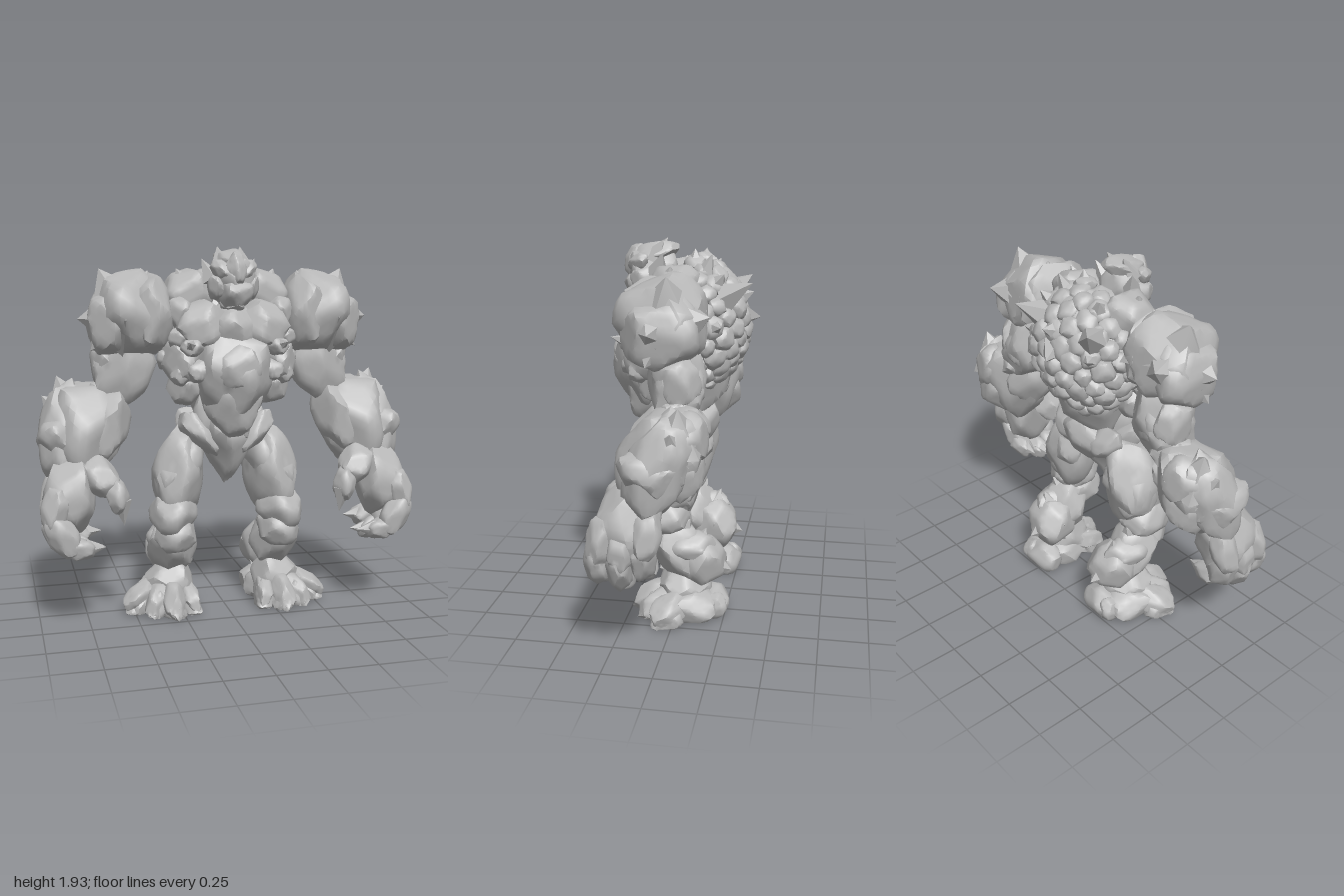
import * as THREE from 'three';
import { mergeGeometries, toCreasedNormals } from 'three/addons/utils/BufferGeometryUtils.js';

const UP = new THREE.Vector3(0, 1, 0);
const V = (p) => new THREE.Vector3(...p);
let seed = 1;
const rand = () => {
  seed = (seed * 16807) % 2147483647;
  return seed / 2147483647;
};

function bare(geo) {
  const g = geo.index ? geo.toNonIndexed() : geo;
  g.deleteAttribute('uv');
  g.deleteAttribute('normal');
  return g;
}

// Boulder stretched from a to b: a ball chipped by random planes.
// A positive taper makes the upper end wider.
function rock(a, b, rx, rz = rx, taper = 0, detail = 5) {
  const g = bare(new THREE.IcosahedronGeometry(1, detail));
  const planes = [];
  for (let i = 0; i < 17; i++) {
    const y = 1 - (2 * (i + 0.5)) / 17, t = i * 2.4 + rand() * 1.2, r = Math.sqrt(1 - y * y);
    planes.push([new THREE.Vector3(r * Math.cos(t), y, r * Math.sin(t)), 0.86 + rand() * 0.12]);
  }
  let A = V(a), B = V(b);
  if (A.y > B.y) [A, B] = [B, A];
  const dir = B.clone().sub(A), half = dir.length() / 2;
  const q = new THREE.Quaternion().setFromUnitVectors(UP, dir.normalize());
  const mid = A.add(B).multiplyScalar(0.5), p = g.attributes.position, v = new THREE.Vector3();
  for (let i = 0; i < p.count; i++) {
    v.fromBufferAttribute(p, i).normalize();
    let r = 1.12;
    for (const [n, h] of planes) {
      const d = n.dot(v);
      if (d > 0.2) r = Math.min(r, h / d);
    }
    v.multiplyScalar(r);
    const k = 1 + taper * v.y;
    v.set(v.x * rx * k, v.y * half, v.z * rz * k).applyQuaternion(q).add(mid);
    p.setXYZ(i, v.x, Math.max(v.y, 0), v.z);
  }
  return g;
}

// Upright boulder from centre and half sizes
const lump = (c, r, taper = 0) =>
  rock([c[0], c[1] - r[1], c[2]], [c[0], c[1] + r[1], c[2]], r[0], r[2], taper);

// Five-sided thorn from base to tip
function spike(base, tip, r) {
  const a = V(base), d = V(tip).sub(a), len = d.length();
  const g = bare(new THREE.ConeGeometry(r, len, 5));
  g.translate(0, len / 2, 0);
  g.applyQuaternion(new THREE.Quaternion().setFromUnitVectors(UP, d.normalize()));
  return g.translate(a.x, a.y, a.z);
}

// Reflects across x and restores the winding
function reflect(geo) {
  const g = geo.clone(), p = g.attributes.position, s = geo.attributes.position;
  for (let i = 0; i < p.count; i++) {
    const j = i % 3 === 1 ? i + 1 : i % 3 === 2 ? i - 1 : i;
    p.setXYZ(i, -s.getX(j), s.getY(j), s.getZ(j));
  }
  return g;
}

export function createModel() {
  seed = 4711;
  const model = new THREE.Group();
  const stone = new THREE.MeshStandardMaterial({ color: 0xb8b8b8 });
  stone.name = 'grey stone';

  const add = (name, geos) => {
    const mesh = new THREE.Mesh(toCreasedNormals(mergeGeometries(geos), 0.7), stone);
    mesh.name = name;
    model.add(mesh);
  };
  const pair = (name, geos) => {
    const g = mergeGeometries(geos), title = name[0].toUpperCase() + name.slice(1);
    add('left' + title, [g]);
    add('right' + title, [reflect(g)]);
  };

  // Trunk
  add('torso', [
    lump([0, 1.48, -0.05], [0.28, 0.32, 0.23]),
    lump([0, 1.22, -0.03], [0.22, 0.25, 0.18], 0.25),
  ]);
  add('belly', [
    lump([0, 1.28, 0.21], [0.2, 0.25, 0.17], 0.15),
    lump([0, 1.33, 0.27], [0.13, 0.13, 0.12]),
    lump([0, 1.13, 0.22], [0.14, 0.16, 0.11], 0.2),
    lump([0, 1.51, 0.18], [0.13, 0.15, 0.14]),
  ]);
  add('waist', [lump([0, 1.06, 0.04], [0.17, 0.2, 0.16])]);
  add('pelvis', [
    lump([0, 0.9, 0.05], [0.14, 0.2, 0.13], 0.6),
    lump([0, 0.96, -0.07], [0.16, 0.13, 0.1], 0.3),
  ]);
  pair('hip', [
    rock([0.03, 0.84, 0.1], [0.24, 1.07, 0.06], 0.065, 0.1, 0.2),
    rock([0.06, 0.9, -0.1], [0.23, 1.06, -0.05], 0.075, 0.07),
  ]);
  pair('chest', [
    lump([0.15, 1.53, 0.17], [0.15, 0.14, 0.14]),
    lump([0.25, 1.36, 0.13], [0.1, 0.13, 0.14]),
    lump([0.19, 1.7, 0.03], [0.14, 0.12, 0.14]),
    lump([0.23, 1.23, 0.09], [0.09, 0.11, 0.12]),
    lump([0.22, 1.43, 0.25], [0.06, 0.05, 0.06]),
    lump([0.26, 1.6, 0.15], [0.07, 0.08, 0.08]),
    lump([0.27, 1.47, 0.18], [0.06, 0.06, 0.07]),
    lump([0.32, 1.36, 0.07], [0.05, 0.06, 0.07]),
    lump([0.27, 1.29, 0.2], [0.05, 0.06, 0.06]),
    lump([0.19, 1.31, 0.25], [0.06, 0.06, 0.06]),
    spike([0.22, 1.43, 0.25], [0.25, 1.46, 0.35], 0.05),
    spike([0.22, 1.73, 0.06], [0.26, 1.82, 0.04], 0.07),
  ]);

  // Overlapping scales wrapped around the back and flanks
  const scales = [];
  const count = 140, c = [0, 1.48, -0.05], r = [0.315, 0.335, 0.26];
  for (let i = 0; i < count; i++) {
    const y = 1 - (2 * (i + 0.5)) / count, t = i * 2.39996, w = Math.sqrt(1 - y * y);
    const d = [w * Math.cos(t), y, w * Math.sin(t)];
    if (y < -0.9 || (d[2] > 0.1 && Math.abs(d[0]) < 0.75)) continue;
    const pinch = y < 0 ? 1 + y * 0.1 : 1;
    const at = [d[0] * r[0] * pinch, c[1] + y * r[1], c[2] + d[2] * r[2] * pinch];
    const n = V([d[0] / r[0], y / r[1], d[2] / r[2]]).normalize();
    const off = (k) => [at[0] + n.x * k, at[1] + n.y * k, at[2] + n.z * k];
    const size = 0.048 + rand() * 0.016;
    scales.push(rock(off(-0.045), off(0.02 + rand() * 0.02), size, size, 0, 3));
    if (i % 6 === 0 && y > 0 && d[2] < 0.1) scales.push(spike(off(0), off(0.075), 0.05));
  }
  add('backScales', scales);
  add('backThorns', [
    spike([0, 1.55, -0.28], [-0.06, 1.53, -0.38], 0.07),
    spike([-0.2, 1.64, -0.2], [-0.29, 1.72, -0.31], 0.08),
    spike([0.15, 1.66, -0.22], [0.2, 1.74, -0.36], 0.08),
    spike([0.1, 1.75, -0.1], [0.12, 1.87, -0.15], 0.06),
  ]);

  // Head
  add('head', [
    lump([0, 1.76, 0.18], [0.11, 0.14, 0.13]),
    lump([0, 1.69, 0.25], [0.08, 0.08, 0.08], 0.25),
    rock([0, 1.72, 0.28], [0, 1.9, 0.25], 0.05, 0.055),
    lump([0, 1.64, 0.2], [0.06, 0.04, 0.09]),
    rock([0, 1.83, 0.3], [0, 1.89, 0.04], 0.085, 0.05),
  ]);
  pair('brow', [
    rock([0.02, 1.77, 0.28], [0.11, 1.85, 0.2], 0.04, 0.045),
    lump([0.085, 1.73, 0.2], [0.045, 0.07, 0.08]),
    spike([0.05, 1.83, 0.17], [0.06, 1.93, 0.11], 0.06),
    spike([0.09, 1.76, 0.14], [0.14, 1.87, 0.1], 0.06),
  ]);

  // Arms
  pair('shoulder', [
    lump([0.5, 1.59, 0.03], [0.2, 0.22, 0.22]),
    lump([0.4, 1.59, 0.05], [0.11, 0.21, 0.21]),
    lump([0.6, 1.55, 0.02], [0.13, 0.18, 0.18]),
    spike([0.55, 1.57, 0.06], [0.77, 1.57, 0.06], 0.2),
    spike([0.54, 1.6, 0.01], [0.65, 1.82, -0.01], 0.2),
    spike([0.46, 1.6, 0], [0.4, 1.81, 0], 0.2),
    spike([0.55, 1.58, -0.02], [0.64, 1.64, -0.21], 0.18),
    spike([0.58, 1.54, 0.05], [0.71, 1.41, 0.08], 0.15),
  ]);
  pair('upperArm', [
    rock([0.46, 1.52, -0.01], [0.61, 1.11, -0.06], 0.155, 0.14),
    lump([0.62, 1.33, -0.05], [0.08, 0.13, 0.11]),
    lump([0.53, 1.3, -0.09], [0.11, 0.14, 0.08]),
    lump([0.62, 1.17, -0.06], [0.1, 0.09, 0.11]),
  ]);
  pair('forearm', [
    rock([0.7, 1.24, -0.08], [0.79, 0.74, 0.08], 0.19, 0.19, 0.1),
    rock([0.82, 1.24, -0.11], [0.89, 0.76, 0.08], 0.11, 0.15),
    rock([0.58, 1.2, -0.04], [0.68, 0.82, 0.08], 0.11, 0.15, 0.1),
    lump([0.78, 1.1, -0.1], [0.13, 0.13, 0.12]),
    lump([0.77, 0.95, -0.07], [0.13, 0.15, 0.13]),
    lump([0.88, 0.97, 0.02], [0.1, 0.12, 0.16]),
    spike([0.8, 1.08, -0.08], [0.87, 1.27, -0.1], 0.15),
    spike([0.61, 1.1, -0.02], [0.54, 1.23, -0.02], 0.11),
    spike([0.84, 1.06, -0.06], [0.95, 1.17, -0.08], 0.12),
  ]);
  const hand = [
    rock([0.8, 0.88, 0.09], [0.86, 0.5, 0.18], 0.13, 0.16),
    rock([0.76, 0.86, 0.13], [0.62, 0.7, 0.24], 0.09, 0.09),
    rock([0.63, 0.79, 0.22], [0.59, 0.6, 0.26], 0.06, 0.06),
    spike([0.59, 0.67, 0.25], [0.575, 0.54, 0.25], 0.055),
  ];
  for (const [z, dy] of [[0.27, 0], [0.17, -0.02], [0.06, 0.03]]) {
    hand.push(
      rock([0.88, 0.77 + dy, z - 0.04], [0.945, 0.52 + dy, z], 0.07),
      rock([0.95, 0.62 + dy, z], [0.82, 0.4 + dy, z + 0.01], 0.075, 0.062),
      rock([0.89, 0.46 + dy, z], [0.72, 0.42 + dy, z], 0.058),
      spike([0.77, 0.44 + dy, z], [0.67, 0.44 + dy, z], 0.05),
    );
  }
  pair('hand', hand);

  // Legs
  pair('thigh', [
    rock([0.2, 1.0, 0], [0.3, 0.5, 0.05], 0.135, 0.155, -0.05),
    lump([0.3, 0.72, 0.04], [0.09, 0.18, 0.13]),
    rock([0.2, 0.96, 0], [0.24, 0.64, 0.03], 0.11, 0.14),
  ]);
  pair('knee', [
    lump([0.3, 0.54, 0.08], [0.125, 0.12, 0.14]),
    lump([0.28, 0.43, 0.09], [0.115, 0.1, 0.12]),
    spike([0.3, 0.47, -0.02], [0.32, 0.53, -0.07], 0.08),
  ]);
  pair('shin', [
    rock([0.3, 0.52, 0.09], [0.27, 0.19, -0.1], 0.125, 0.13),
    lump([0.27, 0.28, -0.12], [0.135, 0.14, 0.13]),
    lump([0.31, 0.38, -0.06], [0.1, 0.08, 0.13]),
    spike([0.29, 0.34, -0.1], [0.3, 0.48, -0.15], 0.1),
    spike([0.27, 0.28, -0.12], [0.27, 0.24, -0.28], 0.14),
  ]);
  const foot = [
    rock([0.27, 0.25, -0.09], [0.31, 0.03, 0.02], 0.13, 0.14, -0.1),
    lump([0.32, 0.06, -0.05], [0.17, 0.11, 0.18]),
    lump([0.27, 0.06, -0.18], [0.12, 0.09, 0.09]),
    lump([0.34, 0.06, -0.2], [0.06, 0.07, 0.07]),
  ];
  // Toes fan outward, slope down and rest on the ground
  for (const [x, z, size] of [[0.18, 0.19, 0.055], [0.31, 0.24, 0.065], [0.43, 0.19, 0.06], [0.55, 0.08, 0.065]]) {
    const bx = 0.28 + (x - 0.28) * 0.3;
    foot.push(
      rock([bx, 0.13, -0.05], [x, 0.03, z], size, size * 1.25),
      lump([x + (bx - x) * 0.4, 0.05, z * 0.7 - 0.03], [size, 0.09, size * 1.2], -0.25),
      rock([bx, 0.03, -0.02], [x, 0.02, z], size * 0.9, size * 0.8),
    );
  }
  pair('foot', foot);

  return model;
}
